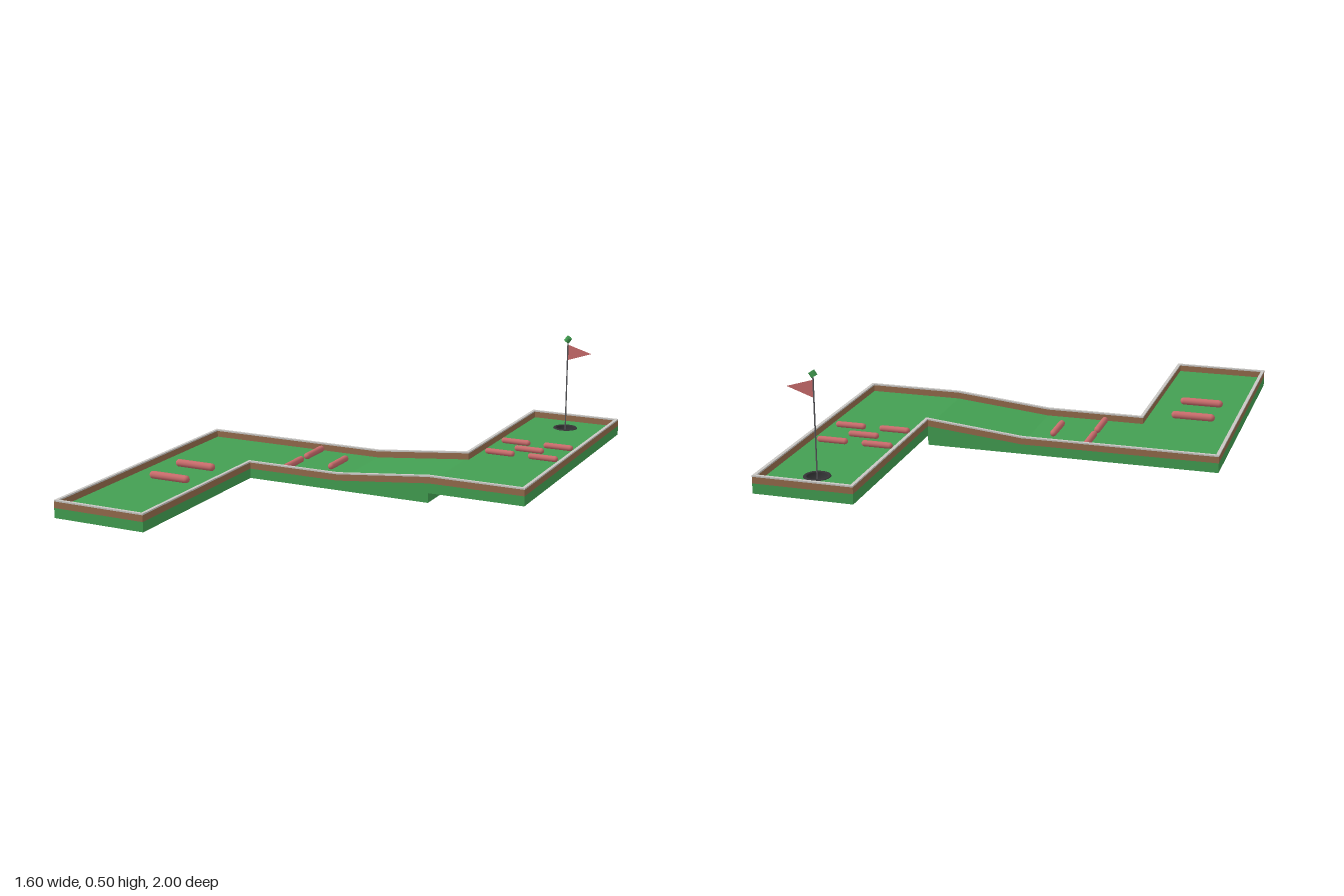
import * as THREE from 'three';

const paint = (name, color, side = THREE.FrontSide) => {
  const m = new THREE.MeshStandardMaterial({ color, side });
  m.name = name;
  return m;
};

export function createModel() {
  const turf = paint('turf green', 0x439f52);
  const wood = paint('wood brown', 0x956c4c);
  const trim = paint('trim grey', 0xc9c7c4);
  const red = paint('soft red', 0xc96c6c, THREE.DoubleSide);
  const dark = paint('cup black', 0x343436, THREE.DoubleSide);
  const steel = paint('pole grey', 0x5c5c60);

  const course = new THREE.Group();
  course.name = 'miniGolfCourse';
  const add = (name, geometry, material, x = 0, y = 0, z = 0, parent = course) => {
    const mesh = new THREE.Mesh(geometry, material);
    mesh.name = name;
    mesh.position.set(x, y, z);
    parent.add(mesh);
    return mesh;
  };

  const DECK = 0.04, RISE = 0.04, W = 0.013;
  const hole = { x: 0.6, z: -0.863, r: 0.05 };
  const rise = x => RISE * THREE.MathUtils.clamp(x / 0.4, 0, 1);

  // Lower lane
  add('lowerLane', new THREE.BoxGeometry(0.4, DECK, 1.2), turf, -0.6, DECK / 2, 0.4);

  // Middle lane: flat half, then a ramp
  const side = new THREE.Shape([[-0.4, 0], [0.4, 0], [0.4, DECK + RISE], [0, DECK], [-0.4, DECK]]
    .map(p => new THREE.Vector2(...p)));
  add('rampLane', new THREE.ExtrudeGeometry(side, { depth: 0.4, bevelEnabled: false }), turf, 0, 0, -0.2);

  // Upper lane with the hole cut through it
  const plan = new THREE.Shape([[0.4, -0.2], [0.8, -0.2], [0.8, 1], [0.4, 1]]
    .map(p => new THREE.Vector2(...p)));
  plan.holes.push(new THREE.Path().absarc(hole.x, -hole.z, hole.r, 0, Math.PI * 2, true));
  const upper = new THREE.ExtrudeGeometry(plan, { depth: DECK, bevelEnabled: false, curveSegments: 16 });
  add('upperLane', upper.rotateX(-Math.PI / 2), turf, 0, RISE, 0);

  // Border rails follow the deck height; each is split where the slope changes
  const slab = (name, material, x0, x1, z0, z1, y0, y1) => {
    const g = new THREE.BoxGeometry(x1 - x0, y1 - y0, z1 - z0);
    g.translate((x0 + x1) / 2, (y0 + y1) / 2, (z0 + z1) / 2);
    const p = g.attributes.position;
    for (let i = 0; i < p.count; i++) p.setY(i, p.getY(i) + rise(p.getX(i)));
    g.computeVertexNormals();
    add(name, g, material);
  };
  const rails = [
    [-0.8, -0.8 + W, -0.2, 1], [-0.8, -0.4, 1 - W, 1], [-0.4 - W, -0.4, 0.2 - W, 1],
    [-0.4, 0.8, 0.2 - W, 0.2], [-0.8, 0.4, -0.2, -0.2 + W],
    [0.4, 0.4 + W, -1, -0.2 + W], [0.4, 0.8, -1, -1 + W], [0.8 - W, 0.8, -1, 0.2],
  ];
  for (const [x0, x1, z0, z1] of rails) {
    const cuts = [x0, ...[0, 0.4].filter(c => c > x0 && c < x1), x1];
    for (let i = 0; i + 1 < cuts.length; i++) {
      slab('rail', wood, cuts[i], cuts[i + 1], z0, z1, DECK, 0.066);
      slab('railCap', trim, cuts[i], cuts[i + 1], z0, z1, 0.066, 0.072);
    }
  }

  // Round bar obstacles: [x, z, length, radius, runs along z]
  const bars = [
    [-0.603, 0.3, 0.185, 0.016, false], [-0.603, 0.497, 0.185, 0.016, false],
    [-0.257, -0.097, 0.157, 0.0135, true], [-0.257, 0.088, 0.157, 0.0135, true],
    [-0.095, -0.002, 0.157, 0.0135, true], [0.598, -0.405, 0.13, 0.0125, false],
  ];
  for (const x of [0.503, 0.692]) for (const z of [-0.5, -0.31]) bars.push([x, z, 0.13, 0.0125, false]);
  for (const [x, z, length, r, alongZ] of bars) {
    const g = new THREE.CapsuleGeometry(r, length - 2 * r, 4, 12).rotateZ(Math.PI / 2);
    if (alongZ) g.rotateY(Math.PI / 2);
    add('barObstacle', g, red, x, DECK + rise(x) + r, z);
  }

  // Cup: raised rim, wall and floor
  const cup = [[0.053, 0.08], [0.051, 0.083], [0.041, 0.083], [0.039, 0.08], [0.039, 0.046], [0, 0.046]]
    .map(p => new THREE.Vector2(...p));
  add('cup', new THREE.LatheGeometry(cup, 24), dark, hole.x, 0, hole.z);

  // Flag, pole and knob
  const flag = new THREE.Group();
  flag.name = 'flag';
  flag.position.set(hole.x, 0, hole.z);
  course.add(flag);
  add('pole', new THREE.CylinderGeometry(0.003, 0.003, 0.424, 8), steel, 0, 0.258, 0, flag);
  const pennant = new THREE.Shape([[0, 0.387], [0.108, 0.424], [0, 0.457]].map(p => new THREE.Vector2(...p)));
  add('pennant', new THREE.ShapeGeometry(pennant), red, 0, 0, 0, flag);
  add('knob', new THREE.CylinderGeometry(0.013, 0.013, 0.022, 10), turf, 0, 0.48, 0, flag).rotation.z = -0.6;

  return course;
}
